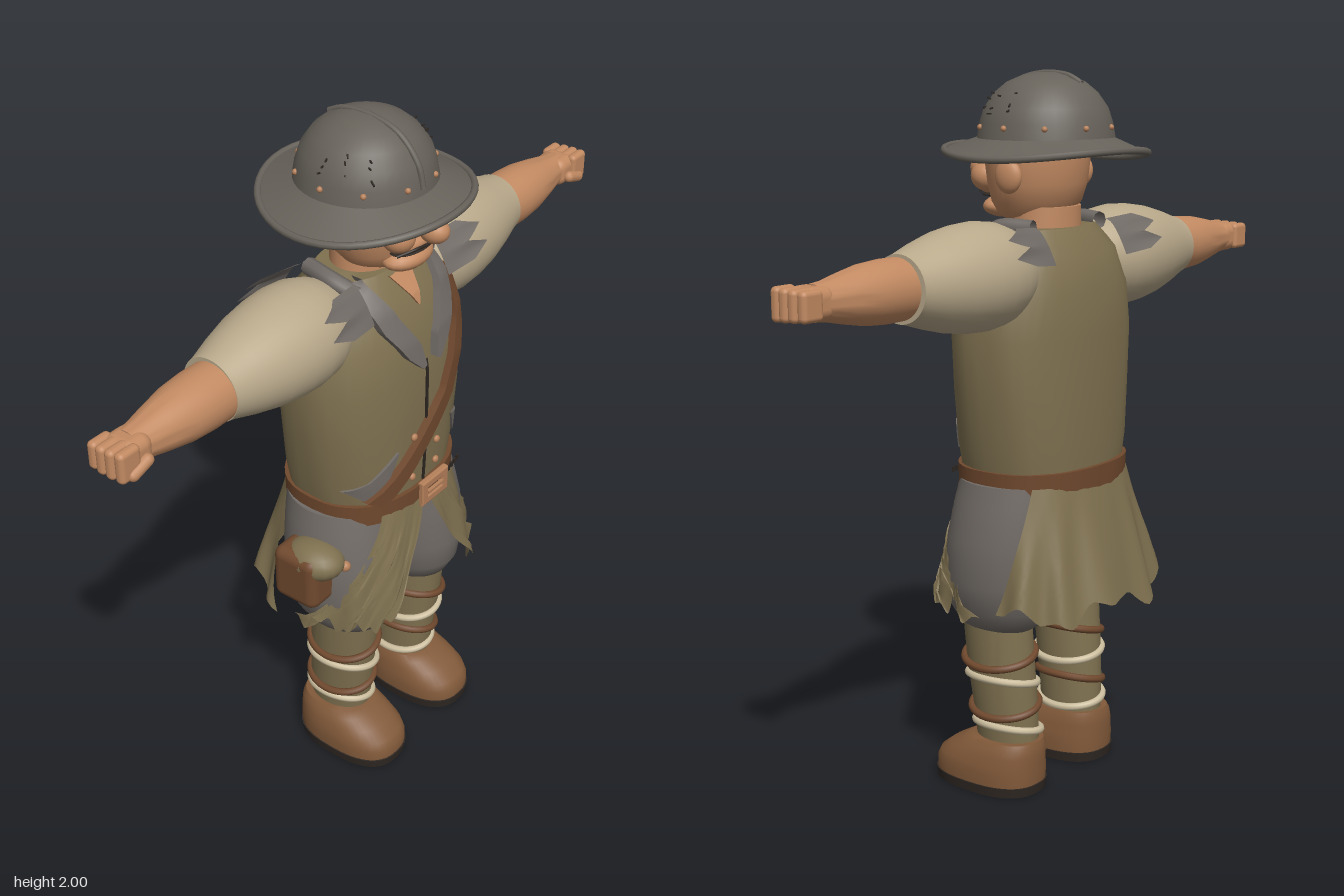
import * as THREE from 'three';
import { toCreasedNormals } from 'three/addons/utils/BufferGeometryUtils.js';
import { RoundedBoxGeometry } from 'three/addons/geometries/RoundedBoxGeometry.js';

const V = (x, y, z) => new THREE.Vector3(x, y, z);
const lerp = THREE.MathUtils.lerp;
const P = 2.4; // squareness of the torso section

// Surface from a rule: fn(u, v) -> [x, y, z], u and v from 0 to 1
function grid(fn, nu, nv, crease = 0.8) {
  const pos = [], idx = [], w = nu + 1;
  for (let i = 0; i <= nv; i++) for (let j = 0; j <= nu; j++) pos.push(...fn(j / nu, i / nv));
  for (let i = 0; i < nv; i++) for (let j = 0; j < nu; j++) {
    const a = i * w + j;
    idx.push(a, a + 1, a + w + 1, a, a + w + 1, a + w);
  }
  const g = new THREE.BufferGeometry();
  g.setAttribute('position', new THREE.Float32BufferAttribute(pos, 3));
  g.setIndex(idx);
  return toCreasedNormals(g, crease);
}
const sgnPow = (v, e) => Math.sign(v) * Math.abs(v) ** e;

// Closed upright body through rings [y, rx, rz, cx, cz]; wobble makes cloth folds
function loft(rings, p = 2, wobble = 0) {
  const f = rings[0], l = rings[rings.length - 1];
  const all = [[f[0], 0.0005, 0.0005, f[3], f[4]], ...rings, [l[0], 0.0005, 0.0005, l[3], l[4]]];
  return grid((u, v) => {
    const [y, rx, rz, cx = 0, cz = 0] = all[Math.round(v * (all.length - 1))];
    const a = u * Math.PI * 2, k = 1 + wobble * Math.sin(11 * a + y * 4);
    return [cx + k * rx * sgnPow(Math.sin(a), 2 / p), y, cz + k * rz * sgnPow(Math.cos(a), 2 / p)];
  }, 40, all.length - 1);
}

const TORSO = [[0.9, 0.24, 0.185, 0, 0.012], [1.0, 0.262, 0.19, 0, 0.012], [1.15, 0.278, 0.192, 0, 0.014],
  [1.3, 0.29, 0.192, 0, 0.014], [1.42, 0.272, 0.18, 0, 0.008], [1.52, 0.23, 0.15, 0, 0.003], [1.585, 0.165, 0.1, 0, 0]];
// Front of the torso at x, y
function frontZ(x, y) {
  let i = 0;
  while (i < TORSO.length - 2 && TORSO[i + 1][0] < y) i++;
  const a = TORSO[i], b = TORSO[i + 1], t = THREE.MathUtils.clamp((y - a[0]) / (b[0] - a[0]), 0, 1);
  const n = Math.min(Math.abs(x) / lerp(a[1], b[1], t), 1);
  return lerp(a[4], b[4], t) + lerp(a[2], b[2], t) * (1 - n ** P) ** (1 / P);
}
// Band lying on the chest along points [x, y, halfWidth]
function tape(pts, lift) {
  const at = v => {
    const s = v * (pts.length - 1), i = Math.min(Math.floor(s), pts.length - 2);
    return [0, 1, 2].map(k => lerp(pts[i][k], pts[i + 1][k], s - i));
  };
  const a = pts[0], b = pts[pts.length - 1], d = Math.hypot(b[0] - a[0], b[1] - a[1]);
  const nx = (b[1] - a[1]) / d, ny = -(b[0] - a[0]) / d;
  return grid((u, v) => {
    const [x, y, w] = at(v), k = THREE.MathUtils.clamp(u * 6 - 1, 0, 4) / 2 - 1;
    const px = x + nx * w * k, py = y + ny * w * k;
    return [px, py, frontZ(px, py) + (u < 0.01 || u > 0.99 ? -0.01 : lift)];
  }, 6, 24);
}

export function createModel() {
  const root = new THREE.Group();
  root.name = 'soldier';
  const mat = (name, color, double) => {
    const m = new THREE.MeshStandardMaterial({ color });
    m.name = name;
    if (double) m.side = THREE.DoubleSide;
    return m;
  };
  const olive = mat('olive cloth', 0x7f7150, true), grey = mat('grey cloth', 0x716b66, true);
  const steel = mat('helmet steel', 0x67625a, true), cream = mat('cream linen', 0xb9a98b);
  const skin = mat('skin', 0xc28a62), leather = mat('brown leather', 0x70492e);
  const boot = mat('boot leather', 0x825a3a), dark = mat('dark', 0x2f2823);
  const copper = mat('copper', 0xb5805a), wrapCloth = mat('pale wrap', 0xcdbf9f);
  const add = (name, geo, m, x = 0, y = 0, z = 0) => {
    const mesh = new THREE.Mesh(geo, m);
    mesh.name = name;
    mesh.position.set(x, y, z);
    root.add(mesh);
    return mesh;
  };
  const ball = (name, m, x, y, z, rx, ry = rx, rz = rx) => {
    const b = add(name, new THREE.SphereGeometry(1, 20, 14), m, x, y, z);
    b.scale.set(rx, ry, rz);
    return b;
  };
  const tube = (name, m, pts, r, closed = false) =>
    add(name, new THREE.TubeGeometry(new THREE.CatmullRomCurve3(pts, closed), 48, r, 8, closed), m);

  // Vest, belt and strap
  add('vest', loft(TORSO, P, 0.008), olive);
  add('vestOpening', tape([[0, 1.34, 0.003], [0, 0.94, 0.003]], 0.005), dark);
  add('neckOpening', tape([[0, 1.58, 0.045], [0.01, 1.49, 0.003]], 0.008), skin);
  add('belt', loft([[0.872, 0.255, 0.198, 0, 0.012], [0.938, 0.257, 0.2, 0, 0.012]], P), leather);
  add('shoulderStrap', tape([[0.185, 1.52, 0.024], [0.16, 1.38, 0.024], [0.08, 1.2, 0.024], [-0.18, 0.94, 0.024]], 0.022), leather);
  for (const x of [-0.055, 0.05]) for (const y of [1.115, 1.05, 0.98])
    ball('button', copper, x, y, frontZ(x, y) + 0.006, 0.011, 0.011, 0.008);
  const frame = new THREE.Shape([[-0.055, -0.034], [0.055, -0.034], [0.055, 0.034], [-0.055, 0.034]].map(p => new THREE.Vector2(...p)));
  frame.holes.push(new THREE.Path([[-0.037, -0.018], [-0.037, 0.018], [0.037, 0.018], [0.037, -0.018]].map(p => new THREE.Vector2(...p))));
  add('buckle', new THREE.ExtrudeGeometry(frame, { depth: 0.012, bevelSize: 0.004, bevelThickness: 0.004, bevelSegments: 2 }), copper, 0.03, 0.905, 0.208);
  add('bucklePin', new THREE.BoxGeometry(0.07, 0.009, 0.01), copper, 0.03, 0.905, 0.222);
  for (let i = 0; i < 5; i++) add('beltHole', new THREE.BoxGeometry(0.009, 0.015, 0.006), dark, 0.1 + i * 0.02, 0.905, 0.205 - i * 0.004);
  add('patch', tape([[-0.215, 0.97, 0.035], [-0.17, 1.0, 0.028], [-0.11, 1.09, 0.002]], 0.006), grey);
  add('patch', tape([[0.2, 0.98, 0.004], [0.19, 1.03, 0.03], [0.14, 1.08, 0.002]], 0.006), grey);

  // Back skirt and front flaps with ragged hems
  const cloth = (name, a0, a1, b0, b1, zTop, zBot, xBot, seed, bend) => add(name, grid((u, v) => {
    const a = lerp(lerp(a0, b0, v ** bend), lerp(a1, b1, v ** bend), u);
    const rag = 0.035 * Math.abs(((u * 7 + seed) % 1) * 2 - 1) + 0.025 * Math.sin(u * 17 + seed);
    const fold = 1 + 0.045 * v * Math.sin(a * 13 + seed);
    return [fold * lerp(0.255, xBot, v) * sgnPow(Math.sin(a), 0.8), 0.9 - v * (0.36 - rag),
      fold * lerp(zTop, zBot, v) * sgnPow(Math.cos(a), 0.8)];
  }, 56, 14, 1.2), olive);
  cloth('backSkirt', Math.PI - 0.95, Math.PI + 0.95, Math.PI - 1.4, Math.PI + 1.4, 0.18, 0.27, 0.325, 0.3, 1);
  for (const s of [1, -1]) cloth('frontFlap', s * 0.02, s * 0.58, s * 0.5, s * 1.6, 0.208, 0.27, 0.32, 1.2, 1.5);

  // Head
  add('neck', loft([[1.5, 0.11, 0.09], [1.64, 0.1, 0.09]]), skin);
  add('head', loft([[1.6, 0.07, 0.07, 0, 0.05], [1.615, 0.105, 0.095, 0, 0.04], [1.65, 0.132, 0.118, 0, 0.033],
    [1.7, 0.148, 0.13, 0, 0.03], [1.76, 0.155, 0.137, 0, 0.03], [1.86, 0.155, 0.137, 0, 0.03]]), skin);
  ball('nose', skin, -0.005, 1.73, 0.222, 0.036, 0.034, 0.042);
  ball('noseBridge', skin, -0.005, 1.76, 0.18, 0.025, 0.04, 0.035);
  ball('chin', skin, 0, 1.632, 0.135, 0.085, 0.033, 0.055);
  ball('upperLip', skin, 0, 1.685, 0.155, 0.085, 0.024, 0.04);
  ball('mouth', dark, 0, 1.664, 0.15, 0.08, 0.007, 0.042);
  for (const s of [1, -1]) {
    ball('cheek', skin, s * 0.065, 1.715, 0.155, 0.045, 0.042, 0.045);
    ball('ear', skin, s * 0.16, 1.725, 0.005, 0.022, 0.046, 0.042);
    ball('eye', dark, s * 0.06, 1.772, 0.15, 0.026, 0.012, 0.02);
    tube('moustache', dark, [V(0, 1.678, 0.197), V(s * 0.04, 1.68, 0.192), V(s * 0.085, 1.668, 0.165)], 0.004);
  }

  // Helmet: dome, drooping brim, rim, crest, rivets and loose straw
  const hx = -0.006;
  add('helmetDome', loft([[1.82, 0.188, 0.188, hx, 0.006], [1.86, 0.181, 0.181, hx, 0.006], [1.9, 0.168, 0.168, hx, 0.006],
    [1.94, 0.14, 0.14, hx, 0.006], [1.968, 0.106, 0.106, hx, 0.006], [1.985, 0.066, 0.066, hx, 0.006], [1.993, 0.03, 0.03, hx, 0.006]]), steel);
  const brim = (a, s) => {
    const r = lerp(0.17, 0.276, s), x = r * Math.sin(a);
    return [hx + x, 1.828 - 0.033 * s - 0.03 * s * Math.sin(a) ** 2 + 0.035 * x * s, 0.006 + r * Math.cos(a)];
  };
  add('helmetBrim', grid((u, v) => brim(u * Math.PI * 2, 1 - v), 48, 6), steel);
  tube('brimRim', steel, Array.from({ length: 24 }, (_, i) => V(...brim(i * Math.PI / 12, 1))), 0.01, true);
  tube('helmetCrest', steel, [V(-0.015, 1.84, 0.192), V(-0.015, 1.9, 0.176), V(-0.015, 1.965, 0.118), V(-0.015, 1.99, 0.03),
    V(-0.015, 1.985, -0.06), V(-0.015, 1.965, -0.105)], 0.008);
  for (let i = 0; i < 10; i++) {
    const a = (i + 0.5) * Math.PI / 5;
    ball('rivet', copper, hx + 0.184 * Math.sin(a), 1.85, 0.006 + 0.184 * Math.cos(a), 0.008);
  }
  for (let i = 0; i < 18; i++) {
    const a = (i % 2 ? 1 : -1) * (0.8 + (i * 0.37) % 1.1), h = (i * 0.29) % 1, r = lerp(0.178, 0.135, h);
    add('straw', new THREE.BoxGeometry(0.03, 0.004, 0.004), dark, hx + r * Math.sin(a), 1.885 + 0.06 * h, r * Math.cos(a))
      .rotation.set(0, a - 1.2, (i % 5) * 0.2 - 0.4);
  }

  for (const s of [1, -1]) {
    // Collar: lapels and pointed tips over the shoulders
    add('lapel', tape([[s * 0.03, 1.335, 0.008], [s * 0.06, 1.39, 0.027], [s * 0.115, 1.48, 0.03], [s * 0.155, 1.59, 0.024]], 0.024), grey);
    tube('collarRoll', grey, [V(s * 0.15, 1.56, 0.09), V(s * 0.17, 1.59, 0.02), V(s * 0.15, 1.59, -0.07)], 0.024);
    for (const f of [1, -1]) add('collarTip', grid((u, v) => [
      s * lerp(0.16, 0.33 - 0.07 * Math.abs(((u * 2) % 1) * 2 - 1), v),
      lerp(1.595, 1.5, u) + (u < 0.5 ? 0.008 : 0.01) * v,
      f * (lerp(0.085, 0.155, u ** 0.6) + 0.015 * v)], 12, 4), grey);

    // Arm, built upright and laid along x
    const limb = (name, m, prof, z) => {
      const g = loft(prof.map(([x, r]) => [x, r, r]));
      g.rotateZ(-s * Math.PI / 2);
      return add(name, g, m, 0, 1.475, z);
    };
    limb('sleeve', cream, [[0.16, 0.1], [0.2, 0.122], [0.25, 0.139], [0.31, 0.145], [0.37, 0.142], [0.44, 0.132], [0.52, 0.112],
      [0.585, 0.092], [0.605, 0.088]], -0.003);
    limb('forearm', skin, [[0.58, 0.08], [0.66, 0.081], [0.73, 0.076], [0.8, 0.063], [0.86, 0.05], [0.9, 0.046]], 0.004);
    add('palm', new RoundedBoxGeometry(0.09, 0.085, 0.1, 3, 0.03), skin, s * 0.9, 1.475, 0.008);
    for (let i = 0; i < 4; i++)
      add('finger', new RoundedBoxGeometry(0.068, 0.086 - i * 0.003, 0.029, 3, 0.013), skin, s * (0.95 - Math.abs(i - 1.5) * 0.003), 1.476, 0.052 - i * 0.029);
    const thumb = add('thumb', new THREE.CapsuleGeometry(0.017, 0.05, 4, 10), skin, s * 0.918, 1.455, 0.062);
    thumb.rotation.z = s * 1.25;

    // Breeches, lower leg and wraps
    add('breeches', loft([[0.465, 0.07, 0.085, s * 0.155, 0.045], [0.49, 0.1, 0.125, s * 0.155, 0.043], [0.54, 0.128, 0.155, s * 0.157, 0.04],
      [0.62, 0.145, 0.168, s * 0.158, 0.035], [0.74, 0.15, 0.166, s * 0.152, 0.028], [0.84, 0.143, 0.16, s * 0.14, 0.018],
      [0.9, 0.136, 0.155, s * 0.132, 0.012]]), grey);
    add('lowerLeg', loft([[0.13, 0.072, 0.095, s * 0.15, 0.022], [0.24, 0.078, 0.1, s * 0.153, 0.028], [0.36, 0.084, 0.102, s * 0.158, 0.04],
      [0.49, 0.088, 0.102, s * 0.16, 0.05]]), olive);
    [0.18, 0.242, 0.32, 0.39].forEach((y, i) => {
      const rx = 0.079 + i * 0.003, tilt = s * (i % 2 ? -0.25 : 0.2);
      tube('legWrap', i % 2 ? leather : wrapCloth, Array.from({ length: 16 }, (_, k) => {
        const a = k * Math.PI / 8, x = rx * Math.sin(a);
        return V(s * (0.15 + i * 0.003) + x, y + x * tilt, 0.023 + i * 0.007 + (0.1 + i * 0.002) * Math.cos(a));
      }), 0.011, true);
    });

    // Boot
    add('sole', loft([[0, 0.108, 0.166, s * 0.16, 0.077], [0.028, 0.112, 0.17, s * 0.16, 0.077]], 2.5), dark);
    add('boot', loft([[0.026, 0.108, 0.166, s * 0.16, 0.077], [0.06, 0.11, 0.167, s * 0.16, 0.076], [0.085, 0.107, 0.16, s * 0.16, 0.07],
      [0.112, 0.1, 0.143, s * 0.159, 0.052], [0.135, 0.093, 0.12, s * 0.157, 0.032], [0.15, 0.083, 0.105, s * 0.155, 0.022]], 2.5), boot);
  }

  // Pouch on the right hip
  add('pouch', new RoundedBoxGeometry(0.11, 0.17, 0.15, 4, 0.03), leather, -0.313, 0.725, 0.03);
  ball('pouchLid', olive, -0.297, 0.775, 0.055, 0.072, 0.055, 0.09);
  ball('pouchButton', copper, -0.262, 0.762, 0.133, 0.016);
  return root;
}
